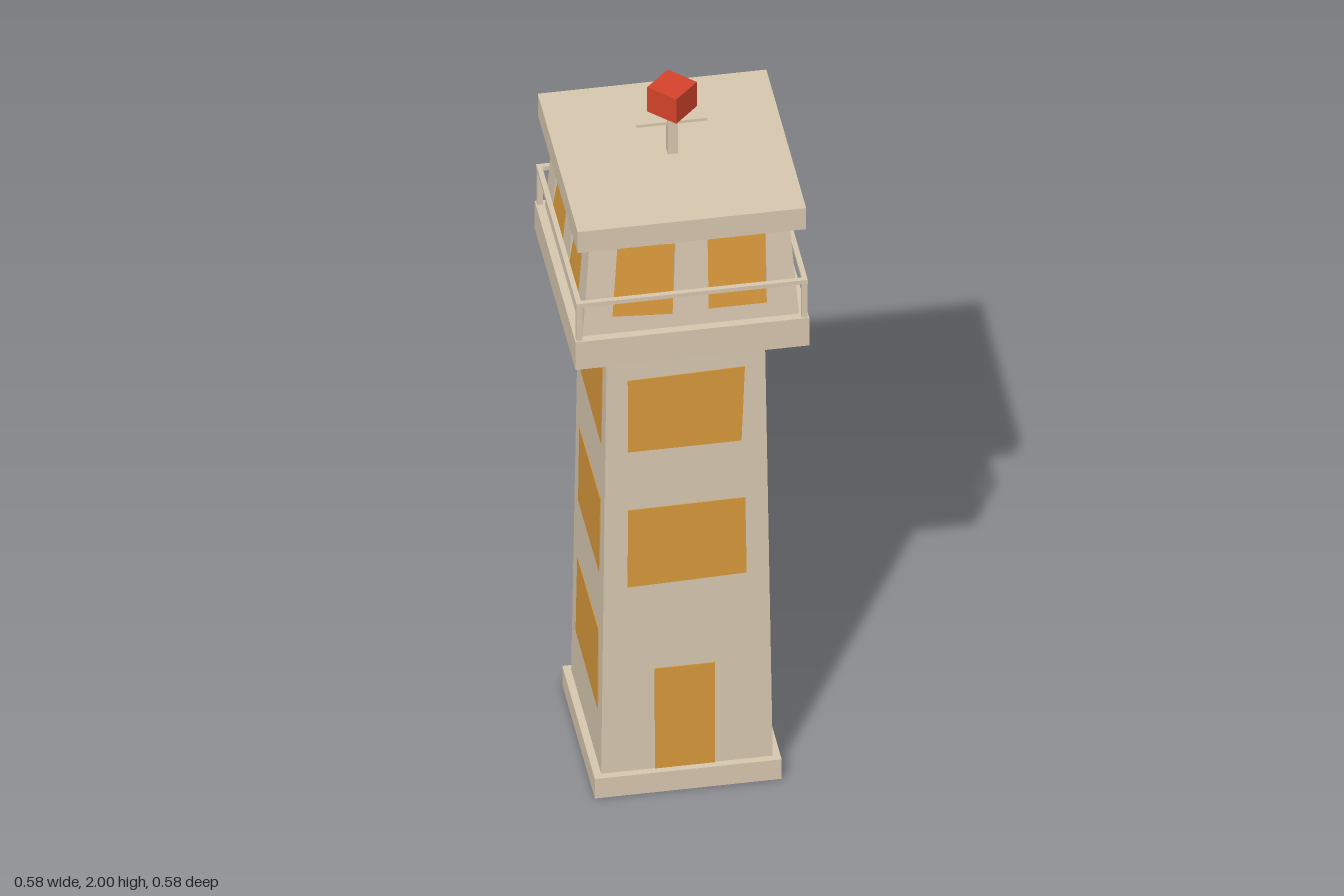
import * as THREE from 'three';

const stone = new THREE.MeshStandardMaterial({ color: 0xd8c8b0 });
stone.name = 'stone';
const amber = new THREE.MeshStandardMaterial({ color: 0xd7983b });
amber.name = 'amber glass';
const red = new THREE.MeshStandardMaterial({ color: 0xd5432b });
red.name = 'beacon red';

// Square block from y0 to y1 whose half-width goes from h0 to h1
function block(name, y0, y1, h0, h1 = h0, mat = stone) {
  const geo = new THREE.BoxGeometry(2, y1 - y0, 2);
  const p = geo.attributes.position;
  for (let i = 0; i < p.count; i++) {
    const h = p.getY(i) > 0 ? h1 : h0;
    p.setX(i, p.getX(i) * h);
    p.setZ(i, p.getZ(i) * h);
  }
  geo.computeVertexNormals();
  const mesh = new THREE.Mesh(geo, mat);
  mesh.name = name;
  mesh.position.y = (y0 + y1) / 2;
  return mesh;
}

function bar(name, w, h, d, x, y, z) {
  const mesh = new THREE.Mesh(new THREE.BoxGeometry(w, h, d), stone);
  mesh.name = name;
  mesh.position.set(x, y, z);
  return mesh;
}

// Leaning walls; sink is how far the panes drop behind the wall per unit of height
const SHAFT = { y0: 0.06, y1: 1.375, h0: 0.214, h1: 0.197, out: 0.002, sink: 0 };
const CABIN = { y0: 1.46, y1: 1.73, h0: 0.27, h1: 0.249, out: 0, sink: 0.07 };

const points = (corners) => corners.map(([x, y]) => new THREE.Vector2(x, y));

// Flat plate whose front lies on a leaning wall; offset(y) moves it outwards
function plate(name, shape, depth, wall, mat, offset) {
  const geo = new THREE.ExtrudeGeometry(shape, { depth, bevelEnabled: false });
  const p = geo.attributes.position;
  for (let i = 0; i < p.count; i++) {
    const y = p.getY(i);
    const t = (y - wall.y0) / (wall.y1 - wall.y0);
    p.setZ(i, p.getZ(i) - depth + wall.h0 + (wall.h1 - wall.h0) * t + offset(y));
  }
  geo.computeVertexNormals();
  const mesh = new THREE.Mesh(geo, mat);
  mesh.name = name;
  return mesh;
}

function pane([name, wall, corners]) {
  const foot = corners[0][1];
  return plate(name, new THREE.Shape(points(corners)), 0.004, wall, amber,
    (y) => wall.out - wall.sink * Math.max(0, y - foot));
}

// Cabin wall with an opening for each cabin window
function cabinWall(panes) {
  const { y0, y1, h0, h1 } = CABIN;
  const shape = new THREE.Shape(points([[-h0, y0], [h0, y0], [h1, y1], [-h1, y1]]));
  for (const [, wall, corners] of panes) {
    if (wall === CABIN) shape.holes.push(new THREE.Path(points(corners)));
  }
  return plate('cabinWall', shape, 0.03, CABIN, stone, () => 0);
}

const frontPanes = [
  ['door', SHAFT, [[-0.08, 0.06], [0.07, 0.06], [0.07, 0.365], [-0.08, 0.365]]],
  ['middleWindow', SHAFT, [[-0.147, 0.622], [0.15, 0.63], [0.147, 0.86], [-0.145, 0.857]]],
  ['upperWindow', SHAFT, [[-0.145, 1.035], [0.138, 1.035], [0.147, 1.26], [-0.145, 1.253]]],
  ['cabinWindow', CABIN, [[-0.195, 1.508], [-0.045, 1.498], [-0.035, 1.702], [-0.18, 1.708]]],
  ['cabinWindow', CABIN, [[0.045, 1.502], [0.19, 1.502], [0.19, 1.706], [0.045, 1.706]]],
];
const sidePanes = [
  ['lowerWindow', SHAFT, [[-0.153, 0.227], [0.16, 0.22], [0.15, 0.46], [-0.147, 0.457]]],
  ['middleWindow', SHAFT, [[-0.147, 0.632], [0.15, 0.635], [0.15, 0.86], [-0.148, 0.857]]],
  ['upperWindow', SHAFT, [[-0.15, 1.037], [0.15, 1.03], [0.15, 1.27], [-0.147, 1.265]]],
  ['cabinWindow', CABIN, [[-0.19, 1.503], [-0.04, 1.503], [-0.035, 1.7], [-0.18, 1.69]]],
  ['cabinWindow', CABIN, [[0.045, 1.503], [0.18, 1.503], [0.175, 1.708], [0.045, 1.695]]],
];

export function createModel() {
  const model = new THREE.Group();
  model.name = 'watchtower';

  // Stacked masonry
  model.add(
    block('plinth', 0, 0.06, 0.233),
    block('shaft', SHAFT.y0, SHAFT.y1, SHAFT.h0, SHAFT.h1),
    block('galleryDeck', 1.375, 1.46, 0.2915),
    block('roof', 1.73, 1.795, 0.285)
  );

  // Four sides: cabin wall, panes, one hand rail and one corner post each
  for (let k = 0; k < 4; k++) {
    const panes = k === 0 ? frontPanes : sidePanes;
    const side = new THREE.Group();
    side.name = ['frontSide', 'leftSide', 'backSide', 'rightSide'][k];
    side.rotation.y = k * Math.PI / 2;
    side.add(cabinWall(panes), ...panes.map(pane));
    side.add(bar('handRail', 0.577, 0.012, 0.013, 0, 1.569, 0.282));
    side.add(bar('railPost', 0.014, 0.12, 0.014, 0.281, 1.513, 0.281));
    model.add(side);
  }

  // Mast with crossbar and beacon turned on its corner
  model.add(bar('mast', 0.025, 0.14, 0.025, 0, 1.86, 0));
  model.add(bar('crossbar', 0.176, 0.008, 0.009, 0, 1.885, 0));
  const beacon = block('beacon', 1.925, 2, 0.0438, 0.0438, red);
  beacon.rotation.y = Math.PI / 4;
  model.add(beacon);

  return model;
}
